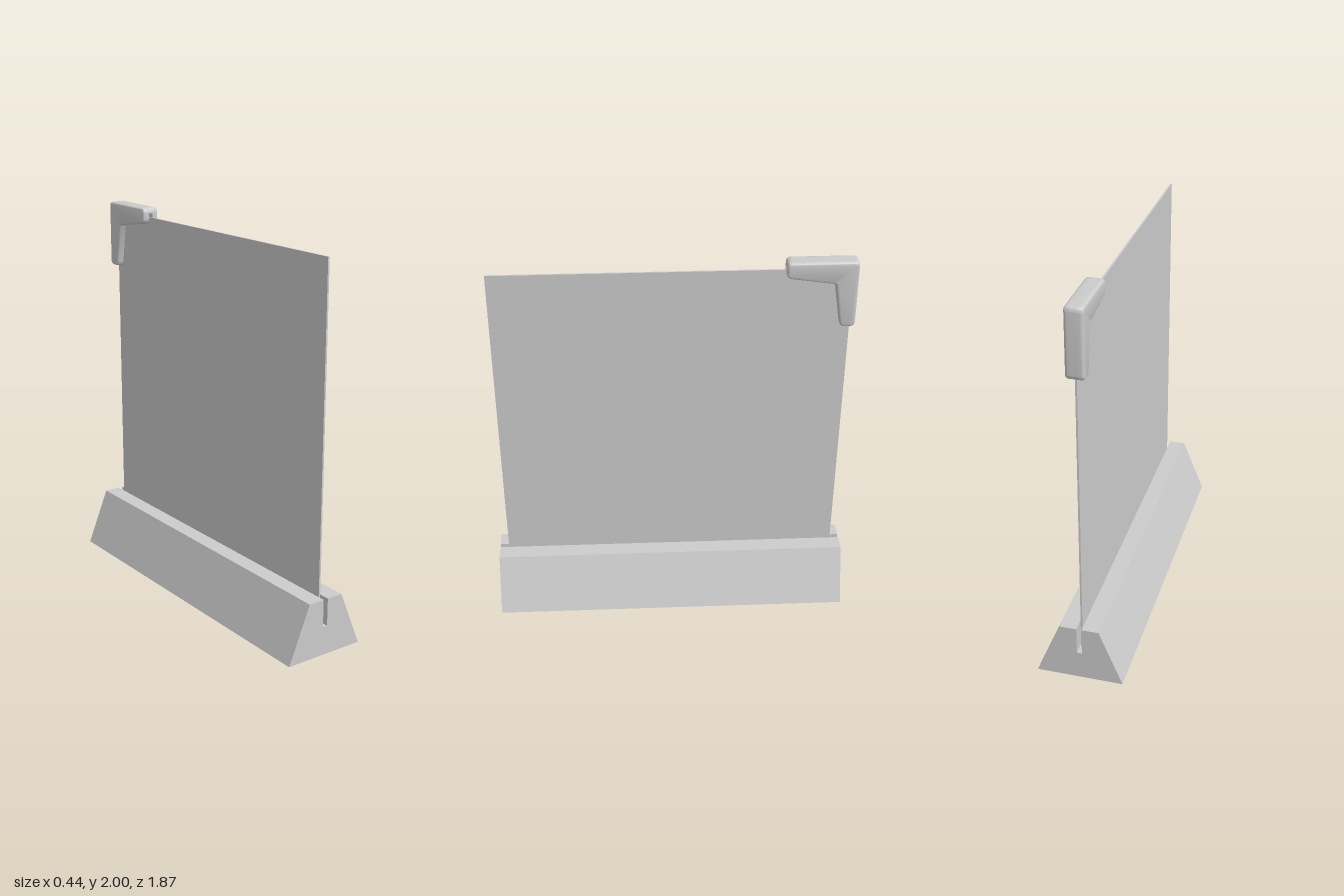
import * as THREE from 'three';
import { toCreasedNormals } from 'three/addons/utils/BufferGeometryUtils.js';

const material = new THREE.MeshStandardMaterial({ color: 0xcccccc });

function addMesh(parent, name, geometry) {
  const mesh = new THREE.Mesh(geometry, material);
  mesh.name = name;
  parent.add(mesh);
  return mesh;
}

// Rounds the corners of a polygon given as [x, y, radius]
function roundedOutline(corners) {
  const points = [];
  corners.forEach(([x, y, r], i) => {
    const c = new THREE.Vector2(x, y);
    if (!r) return points.push(c);
    const toward = ([px, py]) => new THREE.Vector2(px, py).sub(c).setLength(r).add(c);
    const a = toward(corners[(i + corners.length - 1) % corners.length]);
    const b = toward(corners[(i + 1) % corners.length]);
    points.push(...new THREE.QuadraticBezierCurve(a, c, b).getPoints(6));
  });
  return points;
}

// Moves a counter-clockwise outline inward
function inset(points, d) {
  const n = points.length;
  return points.map((p, i) => {
    const before = p.clone().sub(points[(i + n - 1) % n]).normalize();
    const after = points[(i + 1) % n].clone().sub(p).normalize();
    const t = before.add(after).normalize();
    return new THREE.Vector2(p.x - t.y * d, p.y + t.x * d);
  });
}

// Lofts the outline from z0 to z1, rounding only the rim at z1
function cheekGeometry(outline, z0, z1, r) {
  const n = outline.length;
  const steps = 5;
  const rings = [[outline, z0]];
  for (let k = 0; k <= steps; k++) {
    const a = (k / steps) * Math.PI / 2;
    rings.push([inset(outline, r * (1 - Math.cos(a))), z1 - r + r * Math.sin(a)]);
  }
  const positions = [];
  const index = [];
  rings.forEach(([ring, z]) => ring.forEach((p) => positions.push(p.x, p.y, z)));
  for (let k = 0; k < rings.length - 1; k++) {
    for (let i = 0; i < n; i++) {
      const j = (i + 1) % n;
      const a = k * n + i, b = k * n + j;
      index.push(a, b, b + n, a, b + n, a + n);
    }
  }
  const last = (rings.length - 1) * n;
  THREE.ShapeUtils.triangulateShape(outline, []).forEach(([a, b, c]) => {
    index.push(c, b, a, last + a, last + b, last + c);
  });
  const geometry = new THREE.BufferGeometry();
  geometry.setAttribute('position', new THREE.Float32BufferAttribute(positions, 3));
  geometry.setIndex(index);
  return toCreasedNormals(geometry, 0.6);
}

export function createModel() {
  const model = new THREE.Group();
  model.name = 'panelStand';

  // Tapered foot with a slot along its top
  const section = new THREE.Shape([
    [-0.22, 0], [0.22, 0], [0.1, 0.295], [0.013, 0.295],
    [0.013, 0.15], [-0.013, 0.15], [-0.013, 0.295], [-0.1, 0.295],
  ].map(([x, y]) => new THREE.Vector2(x, y)));
  const foot = new THREE.ExtrudeGeometry(section, { depth: 1.87, bevelEnabled: false });
  addMesh(model, 'slottedBase', foot.translate(0, 0, -0.935));

  // Thin upright sheet standing in the slot
  const sheet = new THREE.BoxGeometry(0.009, 1.79, 1.776);
  addMesh(model, 'panel', sheet.translate(0, 1.055, 0));

  // Corner clip, drawn with local x running toward the back
  const clip = new THREE.Group();
  clip.name = 'cornerClip';
  clip.rotation.y = Math.PI / 2;
  model.add(clip);

  const gap = 0.011;
  const r = 0.025;
  const outline = roundedOutline([
    [0.835, 1.65, r], [0.91, 1.65, r], [0.91, 2, r],
    [0.56, 2, r], [0.56, 1.918, r], [0.798, 1.882, 0.01],
  ]);
  const cheek = cheekGeometry(outline, gap, 0.046, 0.015);
  addMesh(clip, 'clipCheekLeft', cheek);
  addMesh(clip, 'clipCheekRight', cheek).scale.z = -1;

  // Spine closing the clip's groove along the outer edges
  const spineOutline = roundedOutline([
    [0.885, 1.65, 0], [0.91, 1.65, r], [0.91, 2, r],
    [0.56, 2, r], [0.56, 1.97, 0], [0.885, 1.97, 0],
  ]);
  const spine = new THREE.ExtrudeGeometry(new THREE.Shape(spineOutline), { depth: gap * 2, bevelEnabled: false });
  addMesh(clip, 'clipSpine', toCreasedNormals(spine.translate(0, 0, -gap), 0.6));

  return model;
}
